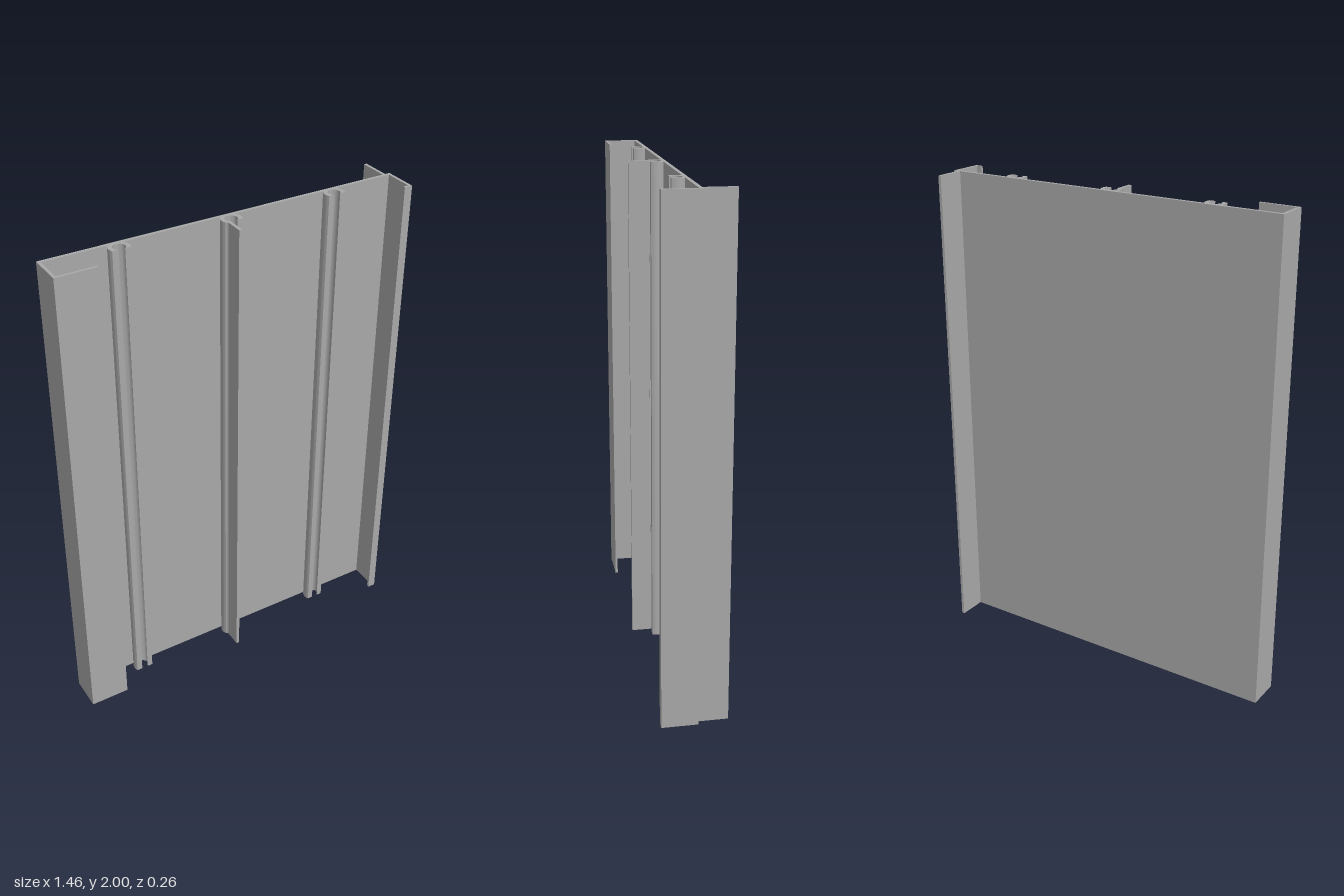
import * as THREE from 'three';
import { toCreasedNormals } from 'three/addons/utils/BufferGeometryUtils.js';

const HEIGHT = 2;

export function createModel() {
  const model = new THREE.Group();
  model.name = 'extrudedPanelProfile';
  const aluminium = new THREE.MeshStandardMaterial({ color: 0xa8a8a8 });
  aluminium.name = 'aluminium grey';

  // Extrudes a plan outline (x, -z) upwards along y
  function addProfile(name, shape, x = 0) {
    let geometry = new THREE.ExtrudeGeometry(shape, { depth: HEIGHT, bevelEnabled: false, curveSegments: 10 });
    geometry.rotateX(-Math.PI / 2);
    geometry = toCreasedNormals(geometry, 0.6);
    const mesh = new THREE.Mesh(geometry, aluminium);
    mesh.name = name;
    mesh.position.x = x;
    model.add(mesh);
  }
  const outline = (points) => new THREE.Shape(points.map(([x, z]) => new THREE.Vector2(x, -z)));

  // Main panel with returned edge flanges and the rear fin, as one section
  const back = -0.011, front = 0.003, lip = 0.13, lipInner = 0.12;
  addProfile('panelWithFlanges', outline([
    [-0.732, back], [0.7, back], [0.7, -0.13], [0.712, -0.13], [0.712, back], [0.732, back],
    [0.732, lip], [0.698, lip], [0.698, lipInner], [0.72, lipInner], [0.72, front],
    [-0.72, front], [-0.72, lipInner], [-0.571, lipInner], [-0.571, lip], [-0.732, lip],
  ]));

  // Open C-shaped screw channels on the front of the panel
  const outer = 0.041, inner = 0.024, centreZ = 0.031, cut = 0.02;
  const endOuter = Math.asin(-cut / outer);
  const endInner = Math.asin(-cut / inner);
  const contact = Math.asin((centreZ - front) / outer);
  const channel = new THREE.Shape();
  channel.moveTo(outer * Math.cos(endOuter), -centreZ - cut);
  channel.absarc(0, -centreZ, outer, endOuter, contact, false);
  channel.absarc(0, -centreZ, outer, Math.PI - contact, Math.PI - endOuter, false);
  channel.absarc(0, -centreZ, inner, Math.PI - endInner, endInner, true);
  channel.closePath();
  for (const [name, x] of [['rightChannel', -0.445], ['middleChannel', 0], ['leftChannel', 0.445]]) {
    addProfile(name, channel, x);
  }

  // Leg standing out from the middle channel
  addProfile('middleLeg', outline([
    [-0.036, 0.046], [-0.02, 0.042], [-0.014, 0.05], [-0.014, lip], [-0.027, lip], [-0.027, 0.058],
  ]));

  return model;
}
